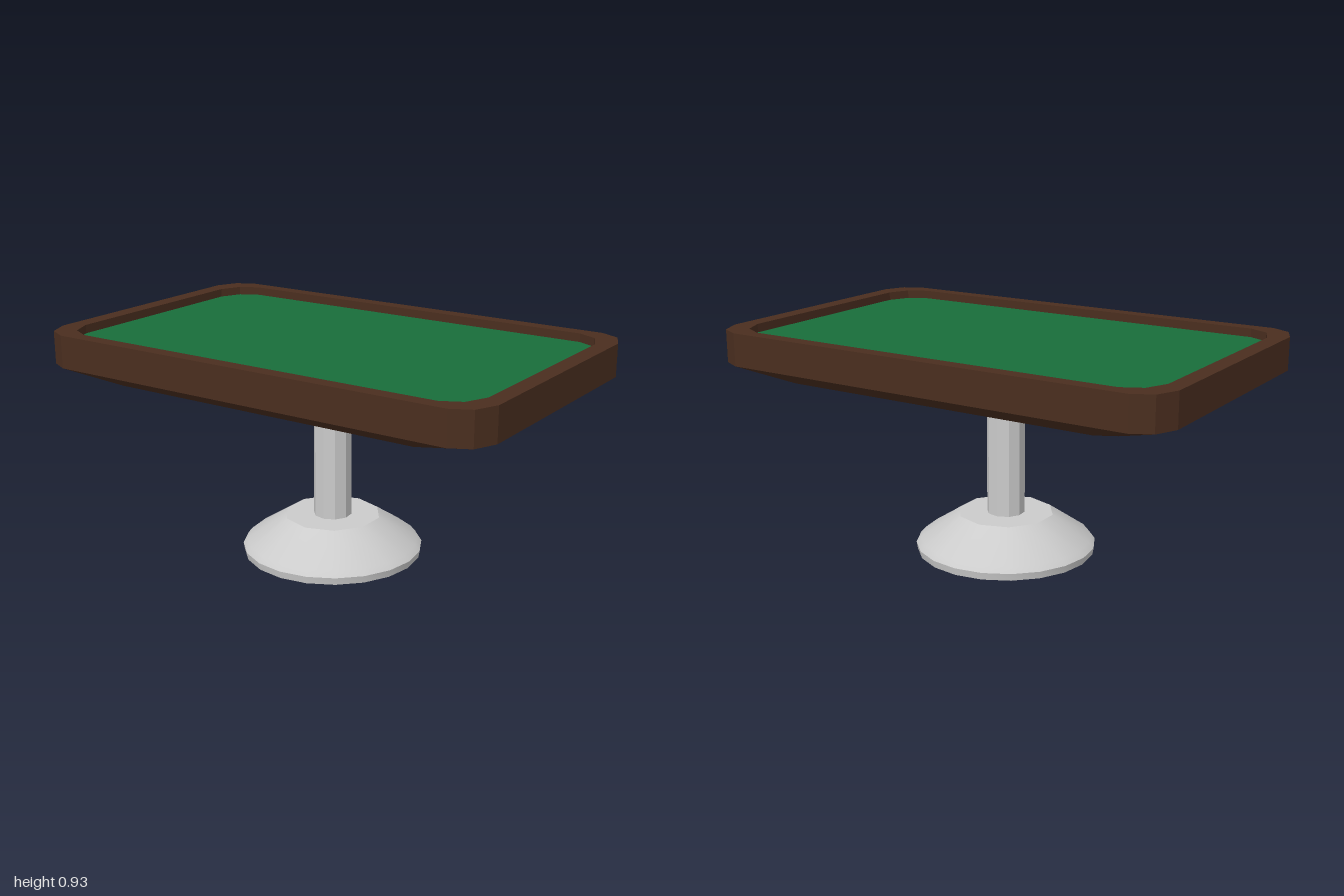
import * as THREE from 'three';
import { toCreasedNormals } from 'three/addons/utils/BufferGeometryUtils.js';

// Rectangle outline with faceted corners, as [x, z] pairs
function outline(hx, hz) {
  const corner = [[hx, hz - 0.13], [hx - 0.04, hz - 0.04], [hx - 0.12, hz]];
  const pts = [];
  for (const [sx, sz] of [[1, 1], [-1, 1], [-1, -1], [1, -1]]) {
    const c = sx * sz > 0 ? corner : [...corner].reverse();
    for (const [x, z] of c) pts.push([sx * x, sz * z]);
  }
  return pts;
}

// Closed loft through outlines given as [halfX, halfZ, y]
function loft(sections) {
  const rings = sections.map(([hx, hz, y]) => outline(hx, hz).map(([x, z]) => [x, y, z]));
  const pos = [];
  for (let k = 0; k < rings.length; k++) {
    const lo = rings[k], hi = rings[(k + 1) % rings.length];
    for (let i = 0; i < lo.length; i++) {
      const j = (i + 1) % lo.length;
      pos.push(...lo[i], ...hi[i], ...hi[j], ...lo[i], ...hi[j], ...lo[j]);
    }
  }
  const geo = new THREE.BufferGeometry();
  geo.setAttribute('position', new THREE.Float32BufferAttribute(pos, 3));
  geo.computeVertexNormals();
  return geo;
}

export function createModel() {
  const table = new THREE.Group();
  table.name = 'table';
  const add = (name, geo, mat) => {
    const mesh = new THREE.Mesh(geo, mat);
    mesh.name = name;
    table.add(mesh);
    return mesh;
  };
  const wood = new THREE.MeshStandardMaterial({ color: 0x4a2e1f, flatShading: true });
  const green = new THREE.MeshStandardMaterial({ color: 0x186e3a, side: THREE.DoubleSide });
  const grey = new THREE.MeshStandardMaterial({ color: 0xcccccc, flatShading: true });
  const greyShell = new THREE.MeshStandardMaterial({ color: 0xcccccc, side: THREE.DoubleSide });

  // Wooden rim with a sloping underside, open in the middle
  add('tableFrame', loft([
    [0.8, 0.5, 0.72], [1, 0.63, 0.79], [1, 0.63, 0.925],
    [0.93, 0.57, 0.925], [0.93, 0.57, 0.86],
  ]), wood);

  // Playing surface sunk slightly into the rim
  const shape = new THREE.Shape(outline(0.93, 0.57).map(([x, z]) => new THREE.Vector2(x, -z)));
  const surface = new THREE.ShapeGeometry(shape).rotateX(-Math.PI / 2);
  add('playingSurface', surface, green).position.y = 0.89;

  // Column from the base up to the playing surface
  const column = new THREE.CylinderGeometry(0.079, 0.079, 0.725, 10, 1, true);
  grey.side = THREE.DoubleSide;
  const post = add('column', column, grey);
  post.position.y = 0.16 + 0.725 / 2;
  post.rotation.y = 0.1;

  // Hollow foot; its upper rings have half as many corners as its lower ones
  const sides = 20;
  const profile = [[0.37, 0], [0.375, 0.03], [0.355, 0.053], [0.2, 0.16], [0.075, 0.16]]
    .map(([r, y]) => new THREE.Vector2(r, y));
  const foot = new THREE.LatheGeometry(profile, sides);
  const p = foot.attributes.position;
  for (let i = 0; i < p.count; i++) {
    const segment = Math.floor(i / profile.length);
    if (segment % 2 && p.getY(i) > 0.1) {
      const s = Math.cos((2 * Math.PI) / sides);
      p.setX(i, p.getX(i) * s);
      p.setZ(i, p.getZ(i) * s);
    }
  }
  add('baseFoot', toCreasedNormals(foot, 0.57), greyShell);

  return table;
}
